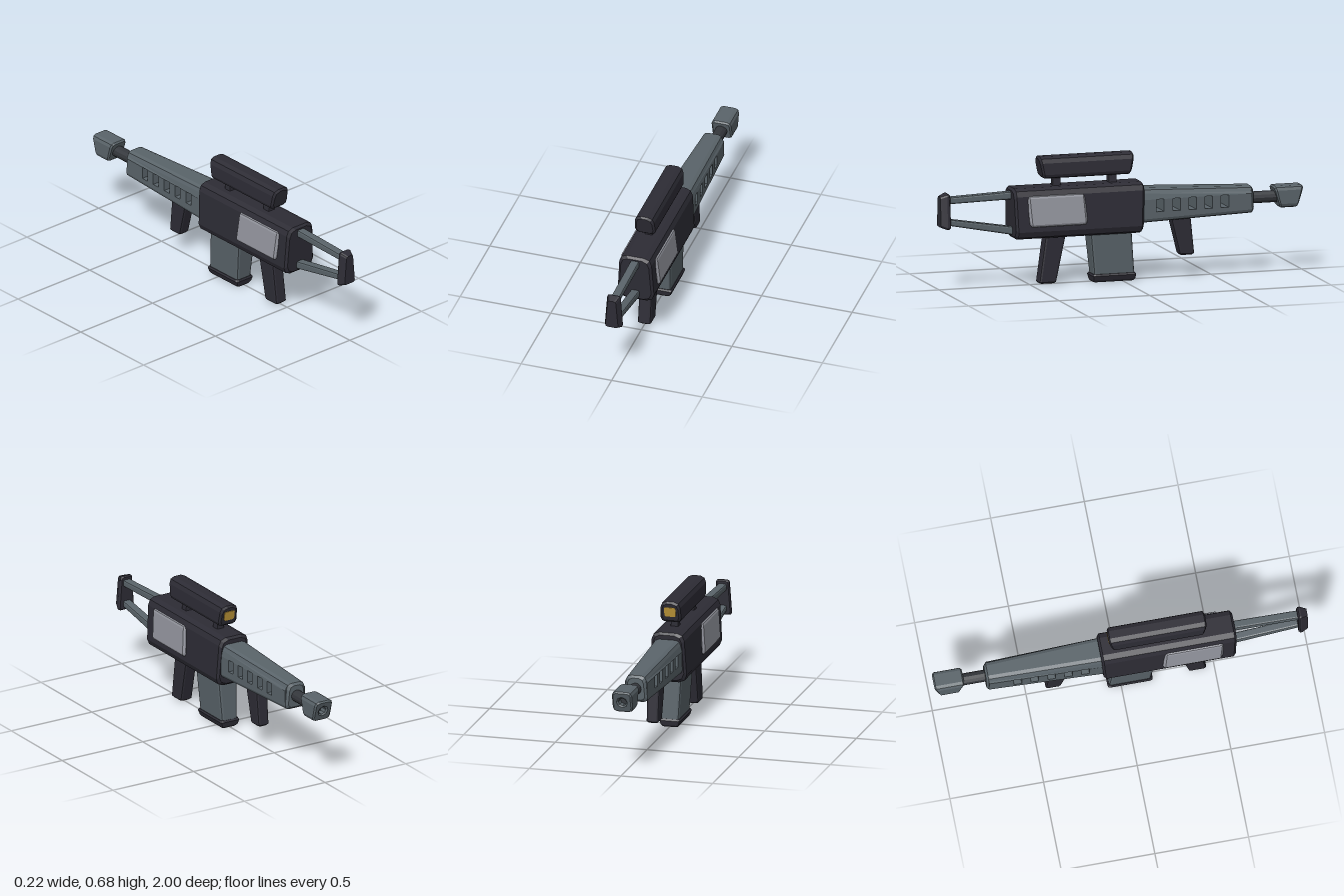
import * as THREE from 'three';

const mat = (name, color, side = THREE.FrontSide) => {
  const m = new THREE.MeshStandardMaterial({ color, flatShading: true, side });
  m.name = name;
  return m;
};

// Twelve-point ring: a trapezoid with rounded-off corners, counter-clockwise seen from +z
function ring({ z, y0, y1, w0, w1 = w0, c0, c1 = c0, lean = 0 }) {
  const yc = (y0 + y1) / 2, k = 0.293;
  const right = [
    [w0 - c0, y0], [w0 - c0 * k, y0 + c0 * k], [w0, y0 + c0],
    [w1, y1 - c1], [w1 - c1 * k, y1 - c1 * k], [w1 - c1, y1],
  ];
  const left = right.map(([x, y]) => [-x, y]).reverse();
  return [...right, ...left].map(([x, y]) => [x, y, z + lean * (y - yc)]);
}

const inset = (s, b, z) => ({
  ...s, z, y0: s.y0 + b, y1: s.y1 - b, w0: s.w0 - b, w1: (s.w1 ?? s.w0) - b,
});

// Solid through cross-sections in order of rising z, with bevelled ends
function bar(sections, bevel = 0) {
  let list = sections;
  if (bevel) {
    const a = sections[0], e = sections[sections.length - 1];
    list = [inset(a, bevel, a.z), { ...a, z: a.z + bevel }, ...sections.slice(1, -1),
      { ...e, z: e.z - bevel }, inset(e, bevel, e.z)];
  }
  const rings = list.map(ring), n = 12, index = [];
  for (let r = 0; r < rings.length - 1; r++) {
    for (let i = 0; i < n; i++) {
      const j = (i + 1) % n, a = r * n, b = a + n;
      index.push(a + i, a + j, b + j, a + i, b + j, b + i);
    }
  }
  const last = (rings.length - 1) * n;
  for (let i = 1; i < n - 1; i++) {
    index.push(0, i + 1, i, last, last + i, last + i + 1);
  }
  const g = new THREE.BufferGeometry();
  g.setAttribute('position', new THREE.Float32BufferAttribute(rings.flat(2), 3));
  g.setIndex(index);
  const flat = g.toNonIndexed();
  flat.computeVertexNormals();
  return flat;
}

// Upright solid; each level is [y, zBack, zFront, halfWidth]
function post(levels, corner, bevel) {
  const g = bar(levels.map(([y, za, zb, w]) => ({ z: y, y0: -zb, y1: -za, w0: w, c0: corner })), bevel);
  return g.rotateX(-Math.PI / 2);
}

export function createModel() {
  const model = new THREE.Group();
  const dark = mat('dark casing', 0x2d2c35);
  const grey = mat('slate grey', 0x5a646a);
  const pale = mat('pale panel', 0x94969f);
  const steel = mat('barrel steel', 0x34373c);
  const amber = mat('amber lens', 0xc29a3a);
  const add = (name, geometry, material) => {
    const m = new THREE.Mesh(geometry, material);
    m.name = name;
    model.add(m);
    return m;
  };

  // Main body and the raised panels on both flanks
  const body = { y0: 0.255, y1: 0.525, w0: 0.1, w1: 0.089, c0: 0.042, c1: 0.04 };
  add('receiver', bar([{ ...body, z: -0.105, lean: -0.04 }, { ...body, z: 0.607, lean: 0.04 }], 0.012), dark);
  const panel = { y0: 0.322, y1: 0.488, w0: 0.112, w1: 0.1, c0: 0.014, lean: 0.08 };
  add('sidePanels', bar([{ ...panel, z: 0.218 }, { ...panel, z: 0.536 }], 0.012), pale);

  // Handguard: upper and lower rails joined by posts, leaving open slots
  const at = (z) => {
    const t = (z + 0.1) / -0.62;
    return { z, low: 0.307 + 0.018 * t, high: 0.49 - 0.024 * t, w: 0.08 - 0.018 * t };
  };
  const slotLow = 0.364, slotHigh = 0.43, back = -0.09, front = -0.705;
  const rail = (fn) => bar([front, back].map((z) => fn(at(z))));
  add('handguardTop', rail(({ z, high, w }) =>
    ({ z, y0: slotHigh, y1: high, w0: w, w1: w - 0.008, c0: 0, c1: 0.026 })), grey);
  add('handguardBottom', rail(({ z, low, w }) =>
    ({ z, y0: low, y1: slotLow, w0: w, c0: 0.02, c1: 0 })), grey);
  const edges = [front];
  for (let i = 4; i >= 0; i--) edges.push(-0.217 - 0.09 * i, -0.175 - 0.09 * i);
  edges.push(back);
  for (let i = 0; i < edges.length; i += 2) {
    add('handguardPost', bar([edges[i], edges[i + 1]].map((z) =>
      ({ z, y0: slotLow, y1: slotHigh, w0: at(z).w, c0: 0 }))), grey);
  }
  const tip = at(front);
  const nose = { y0: tip.low, y1: tip.high, w0: tip.w, w1: tip.w - 0.008, c0: 0.02, c1: 0.026 };
  add('handguardNose', bar([{ ...inset(nose, 0.012, -0.72) }, { ...nose, z: -0.708 }, { ...nose, z: front }]), grey);

  // Barrel ends inside the bored muzzle block
  const barrel = new THREE.CylinderGeometry(0.032, 0.032, 0.25, 12).rotateX(Math.PI / 2);
  add('barrel', barrel.translate(0, 0.397, -0.805), steel);

  const outline = new THREE.Shape(
    ring({ z: 0, y0: 0.34, y1: 0.456, w0: 0.054, c0: 0.022 }).map(([x, y]) => new THREE.Vector2(x, y)));
  const bore = new THREE.Path();
  bore.absarc(0, 0.397, 0.022, 0, Math.PI * 2, true);
  outline.holes.push(bore);
  const muzzle = new THREE.ExtrudeGeometry(outline, {
    depth: 0.114, bevelEnabled: true, bevelThickness: 0.008, bevelSize: 0.008,
    bevelOffset: -0.008, bevelSegments: 1, curveSegments: 4,
  }).translate(0, 0, -0.057);
  const p = muzzle.attributes.position;
  for (let i = 0; i < p.count; i++) {
    p.setZ(i, -0.916 + p.getZ(i) * (1 + 4.8 * (p.getY(i) - 0.4)));
  }
  muzzle.computeVertexNormals();
  add('muzzle', muzzle, grey);

  // Grips and magazine
  add('rearGrip', post([[0.006, 0.362, 0.457, 0.036], [0.29, 0.305, 0.42, 0.036]], 0.012, 0.008), dark);
  add('foreGrip', post([[0.116, -0.4, -0.318, 0.033], [0.325, -0.38, -0.27, 0.035]], 0.012, 0.008), dark);
  add('magazine', post([[0.03, -0.066, 0.158, 0.048], [0.28, -0.046, 0.184, 0.06]], 0.014, 0), grey);
  add('magazineBase', post([
    [0, -0.062, 0.158, 0.042], [0.01, -0.07, 0.164, 0.05],
    [0.034, -0.073, 0.168, 0.058], [0.043, -0.066, 0.162, 0.052],
  ], 0.012, 0), dark);

  // Open shoulder stock
  const strut = (z, y0, y1) => ({ z, y0, y1, w0: 0.023, c0: 0.009 });
  add('upperStrut', bar([strut(0.59, 0.464, 0.506), strut(0.96, 0.456, 0.492)]), grey);
  add('lowerStrut', bar([strut(0.59, 0.272, 0.316), strut(0.96, 0.343, 0.377)]), grey);
  const butt = { y0: 0.323, y1: 0.512, w0: 0.048, w1: 0.036, c0: 0.012 };
  add('buttPlate', bar([
    { ...inset(butt, 0.006, 0.948) }, { ...butt, z: 0.956 },
    { ...butt, z: 0.966 }, { ...inset(butt, 0.013, 1) },
  ]), dark);

  // Sight on two mounts, with a lens at the far end
  const sight = { y0: 0.567, y1: 0.682, w0: 0.056, w1: 0.053, c0: 0.022, c1: 0.032 };
  add('sight', bar([{ ...sight, z: -0.055, lean: -0.2 }, { ...sight, z: 0.45, lean: 0.2 }], 0.01), dark);
  const lens = { y0: 0.6, y1: 0.652, w0: 0.031, c0: 0.009, lean: -0.2 };
  add('lens', bar([{ ...lens, z: -0.06 }, { ...lens, z: -0.054 }]), amber);
  for (const z of [0.048, 0.356]) {
    add('sightMount', post([[0.51, z - 0.022, z + 0.022, 0.022], [0.58, z - 0.022, z + 0.022, 0.018]], 0.004, 0), dark);
  }
  return model;
}
